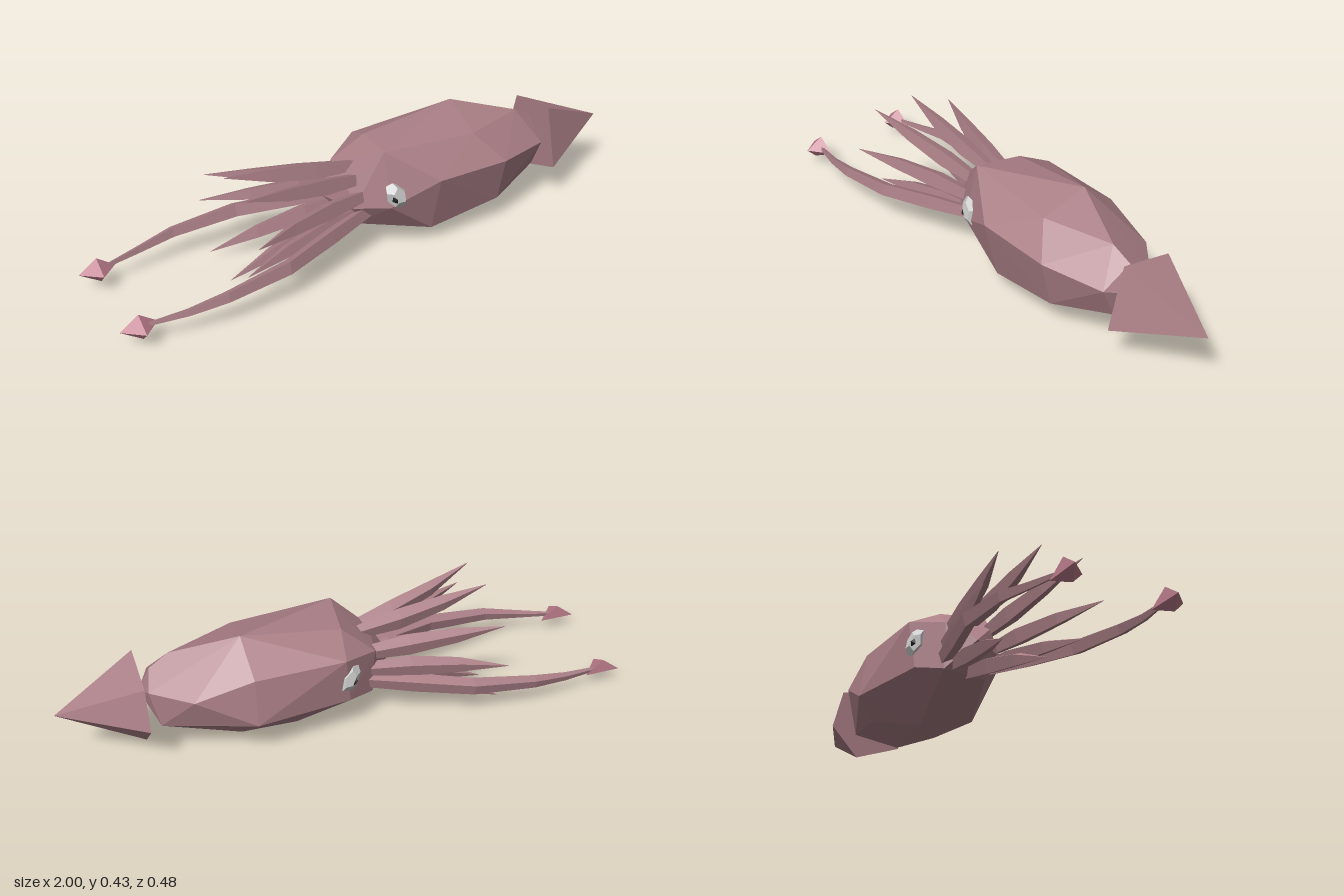
import * as THREE from 'three';
import { ConvexGeometry } from 'three/addons/geometries/ConvexGeometry.js';

const skin = new THREE.MeshStandardMaterial({ color: 0xaa7f86, flatShading: true });
const pink = new THREE.MeshStandardMaterial({ color: 0xbd7d8c, flatShading: true });
const eyeGrey = new THREE.MeshStandardMaterial({ color: 0xcccccc, flatShading: true });
const black = new THREE.MeshStandardMaterial({ color: 0x222222, flatShading: true });

// Faceted solid around a few corner points
function hull(points) {
  return new ConvexGeometry(points.map(p => new THREE.Vector3(...p)));
}

// Four-sided limb running towards -x, one cross-section per path point
function limb(path, radii) {
  const sides = 4, pos = [], idx = [];
  path.forEach(([x, y, z], i) => {
    for (let j = 0; j < sides; j++) {
      const a = (j + 0.3) / sides * Math.PI * 2;
      pos.push(x, y + Math.cos(a) * radii[i], z + Math.sin(a) * radii[i] * 0.8);
    }
  });
  for (let i = 0; i < path.length - 1; i++) {
    for (let j = 0; j < sides; j++) {
      const a = i * sides + j, b = i * sides + (j + 1) % sides;
      idx.push(a, a + sides, b, b, a + sides, b + sides);
    }
  }
  const g = new THREE.BufferGeometry();
  g.setAttribute('position', new THREE.Float32BufferAttribute(pos, 3));
  g.setIndex(idx);
  g.computeVertexNormals();
  return g;
}

export function createModel() {
  const squid = new THREE.Group();
  squid.name = 'squid';
  const add = (name, geometry, material, parent = squid) => {
    const mesh = new THREE.Mesh(geometry, material);
    mesh.name = name;
    parent.add(mesh);
    return mesh;
  };

  // Mantle and head as one irregular faceted solid
  add('body', hull([
    // head end
    [-0.17, 0.21, -0.02], [-0.08, 0.11, 0.06], [-0.08, 0.12, -0.1],
    [-0.12, 0.29, 0.06], [-0.09, 0.29, -0.1], [-0.11, 0.2, 0.1],
    // widest part
    [0, 0.395, 0.11], [0.02, 0.38, -0.06], [0.04, 0.327, -0.175], [0.02, 0.15, -0.16],
    [0.18, 0.015, -0.05], [0.17, 0.065, 0.155], [0.17, 0.28, 0.208], [0.0, 0.2, 0.16],
    [0.37, 0.427, -0.05], [0.36, 0.37, 0.115], [0.36, 0.327, -0.178], [0.36, 0.16, -0.205],
    [0.45, 0.03, 0.0], [0.45, 0.1, 0.155], [0.45, 0.27, 0.195], [0.4, 0.09, -0.13],
    // tail end
    [0.6, 0.36, 0.03], [0.56, 0.27, -0.155], [0.67, 0.32, 0.02], [0.66, 0.25, 0.12],
    [0.66, 0.14, 0.07], [0.66, 0.14, -0.07], [0.71, 0.23, 0.03], [0.69, 0.27, -0.05],
  ]), skin);

  // Pointed tail fin with a five-sided base
  add('tailFin', hull([
    [1, 0.22, 0], [0.71, 0.36, 0.085], [0.71, 0.328, -0.105],
    [0.71, 0.18, -0.145], [0.71, 0.07, -0.04], [0.71, 0.14, 0.14],
  ]), skin);

  // Eight short arms fanning out of the head to their tips
  const tips = [
    [-0.54, 0.395, 0.16], [-0.54, 0.26, 0.24], [-0.54, 0.1, 0.15], [-0.54, 0, 0.005],
    [-0.54, 0.025, -0.155], [-0.54, 0.2, -0.22], [-0.54, 0.33, -0.165], [-0.54, 0.4, 0],
  ];
  tips.forEach(([x, y, z]) => {
    const len = Math.hypot(y - 0.22, z);
    const uy = (y - 0.22) / len, uz = z / len;
    const at = (t, f) => {
      const r = 0.085 + (len - 0.085) * f;
      return [-0.04 + (x + 0.04) * t, 0.22 + uy * r, uz * r];
    };
    add('arm', limb(
      [at(0, 0), at(0.35, 0.25), at(0.68, 0.58), [x, y, z]],
      [0.024, 0.038, 0.028, 0.001]), skin);
  });

  // Two long tentacles with diamond clubs
  const clubPoints = [
    [-1, 0.06, 0.165], [-0.87, 0.06, 0.165], [-0.935, 0.11, 0.17],
    [-0.935, 0.035, 0.2], [-0.935, 0.07, 0.235],
  ];
  for (const side of [1, -1]) {
    const endZ = side > 0 ? 0.18 : -0.185;
    add('tentacle', limb([
      [-0.04, 0.17, 0.085 * side], [-0.22, 0.15, 0.14 * side], [-0.42, 0.13, 0.205 * side],
      [-0.65, 0.105, 0.222 * side], [-0.78, 0.085, 0.208 * side], [-0.93, 0.07, endZ],
    ], [0.028, 0.035, 0.032, 0.024, 0.016, 0.007]), skin);
    const club = add('tentacleClub', hull(clubPoints), pink);
    if (side < 0) club.position.z = -0.365;

    // Eye and pupil, turned a little towards the arms
    const eye = new THREE.Group();
    eye.name = 'eye';
    eye.position.set(0.02, 0.243, 0.158 * side);
    eye.rotation.set(0, -0.4 * side, 0.5);
    squid.add(eye);
    add('eyeball', new THREE.DodecahedronGeometry(1, 0), eyeGrey, eye).scale.set(0.036, 0.054, 0.024);
    const pupil = add('pupil', new THREE.OctahedronGeometry(1, 0), black, eye);
    pupil.scale.set(0.013, 0.018, 0.01);
    pupil.position.set(-0.006, -0.004, 0.018 * side);
  }

  return squid;
}
